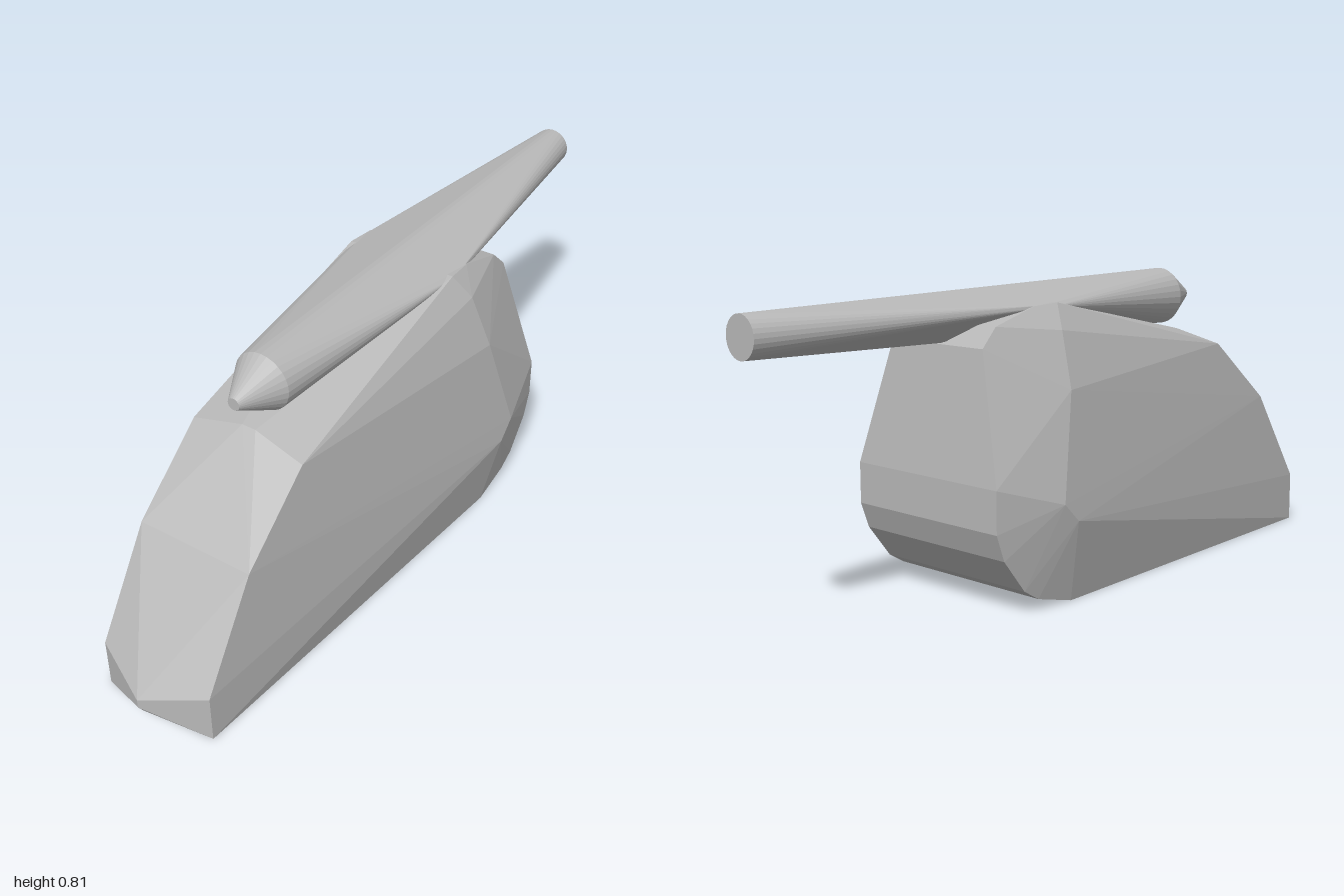
import * as THREE from 'three';
import { ConvexGeometry } from 'three/addons/geometries/ConvexGeometry.js';

const grey = new THREE.MeshStandardMaterial({ color: 0xb8b8b8 });
grey.name = 'plain grey';

const v = (x, y, z) => new THREE.Vector3(x, y, z);

// Mirrors a list of [x, y, z] corners across x = 0
function mirrored(corners) {
  return corners.flatMap(([x, y, z]) => (x === 0 ? [v(0, y, z)] : [v(x, y, z), v(-x, y, z)]));
}

// Points on an upright circle around the barrel axis
function ring(radius, z, y = 0.725, sides = 28) {
  return Array.from({ length: sides }, (_, i) => {
    const a = (i / sides) * Math.PI * 2;
    return v(Math.cos(a) * radius, y + Math.sin(a) * radius, z);
  });
}

function hull(name, points) {
  const mesh = new THREE.Mesh(new ConvexGeometry(points), grey);
  mesh.name = name;
  return mesh;
}

export function createModel() {
  const model = new THREE.Group();
  model.name = 'model';

  // Faceted body
  model.add(hull('body', mirrored([
    // pointed prow
    [0, 0.105, 1.0], [0, 0.08, 1.0], [0, 0.055, 0.985],
    [0.165, 0, 0.925], [0.165, 0.14, 0.925],
    // sloping front and deck
    [0.165, 0.41, 0.75], [0.165, 0.59, 0.53], [0.02, 0.625, 0.52],
    [0.16, 0.755, -0.15], [0.155, 0.75, -0.23],
    [0.16, 0.71, -0.37], [0.165, 0.66, -0.42],
    // bulging flanks
    [0.205, 0.69, -0.18], [0.255, 0.545, -0.2],
    [0.3, 0.27, -0.27], [0.3, 0.22, -0.22],
    // rounded lower back
    [0.255, 0.33, -0.465], [0.255, 0.22, -0.465], [0.255, 0.15, -0.44],
    [0.255, 0.06, -0.37], [0.255, 0.03, -0.32], [0.255, 0, -0.2],
  ])));

  // Long top fairing, pinched out to a point on each side
  model.add(hull('topFairing', [
    ...ring(0.017, 0.57),
    ...ring(0.08, 0.46),
    ...ring(0.053, -1),
    ...mirrored([[0.162, 0.745, -0.17], [0.157, 0.75, -0.2]]),
  ]));

  return model;
}
